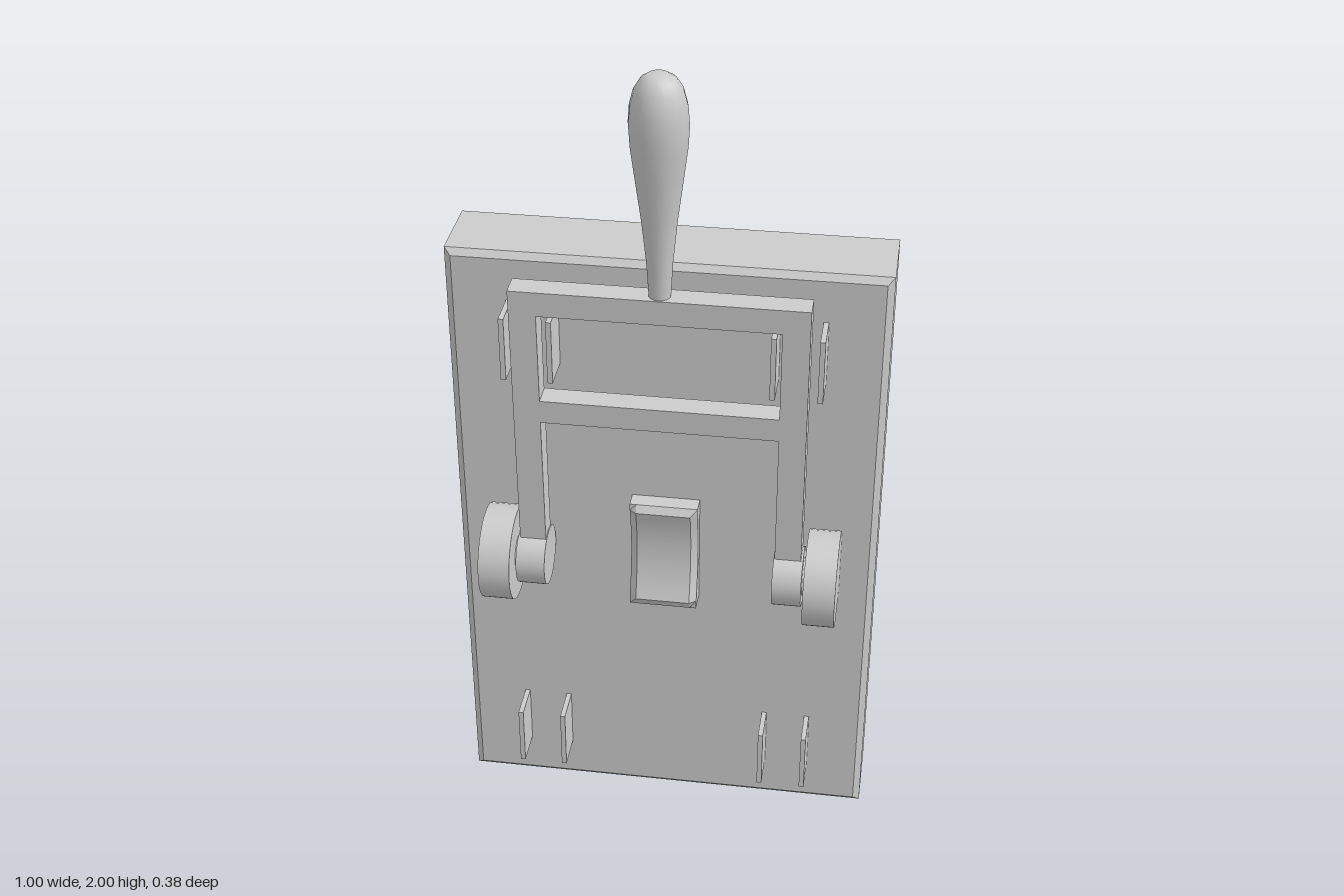
import * as THREE from 'three';
import { toCreasedNormals } from 'three/addons/utils/BufferGeometryUtils.js';

const solid = new THREE.MeshStandardMaterial({ color: 0xcccccc });
const thin = new THREE.MeshStandardMaterial({ color: 0xcccccc, side: THREE.DoubleSide });

function add(parent, name, geometry, material = solid) {
  const mesh = new THREE.Mesh(geometry, material);
  mesh.name = name;
  parent.add(mesh);
  return mesh;
}

// Rectangle as four corners, counter-clockwise seen from the front
const rect = (x, y0, y1) => [[-x, y0], [x, y0], [x, y1], [-x, y1]].map(p => new THREE.Vector2(...p));

// Flat-sided walls joining rectangular rings, ordered back to front
function ringWalls(rings) {
  const pos = [];
  for (let r = 0; r < rings.length - 1; r++) {
    for (let i = 0; i < 4; i++) {
      const j = (i + 1) % 4;
      const at = (ring, k) => [ring.pts[k].x, ring.pts[k].y, ring.z];
      const a = at(rings[r], i), b = at(rings[r], j);
      const c = at(rings[r + 1], j), d = at(rings[r + 1], i);
      pos.push(...a, ...b, ...c, ...a, ...c, ...d);
    }
  }
  const g = new THREE.BufferGeometry();
  g.setAttribute('position', new THREE.Float32BufferAttribute(pos, 3));
  g.computeVertexNormals();
  return g;
}

// Concave rocker cap, open at the back: a grid pushed into shape
function rockerGeometry() {
  const xs = [-0.08, -0.08, -0.064, 0.064, 0.08, 0.08];
  const n = 14;
  const g = new THREE.PlaneGeometry(1, 1, xs.length - 1, n);
  const p = g.attributes.position;
  for (let k = 0; k < p.count; k++) {
    const i = k % xs.length, j = Math.floor(k / xs.length);
    const t = THREE.MathUtils.clamp((j - 2) / (n - 4), 0, 1);
    let y = THREE.MathUtils.lerp(0.883, 0.642, t);
    if (j < 2) y = 0.9;
    if (j > n - 2) y = 0.62;
    const face = 0.052 + 0.012 * t - 0.09 * t * (1 - t);
    const border = Math.min(i, xs.length - 1 - i, j, n - j);
    p.setXYZ(k, xs[i], y, border === 0 ? 0 : border === 1 ? face - 0.012 : face);
  }
  return toCreasedNormals(g, 0.5);
}

export function createModel() {
  const model = new THREE.Group();
  model.name = 'leverSwitchPlate';

  // Wall plate: open-backed shell with a bevelled front edge
  const plate = new THREE.Group();
  plate.name = 'plate';
  model.add(plate);
  const inner = rect(0.482, 0.015, 1.5);
  const outer = rect(0.498, 0, 1.515);
  add(plate, 'plateSides', ringWalls([
    { pts: outer, z: -0.19 }, { pts: outer, z: -0.013 }, { pts: inner, z: 0 },
  ]), thin);
  const face = new THREE.Shape(inner);
  face.holes.push(new THREE.Path(rect(0.08, 0.62, 0.9).reverse()));
  add(plate, 'plateFace', new THREE.ShapeGeometry(face), thin);

  add(model, 'rocker', rockerGeometry(), thin);

  // Pairs of thin contact tabs near the four corners
  for (const x of [-0.354, -0.248, 0.248, 0.354]) {
    for (const y of [0.193, 1.322]) {
      add(model, 'contactTab', new THREE.BoxGeometry(0.012, 0.155, 0.094)).position.set(x, y, 0.042);
    }
  }

  // Pivots: large outer disc, short neck and inner hub on each side
  for (const side of [-1, 1]) {
    const pivot = new THREE.Group();
    pivot.name = side > 0 ? 'leftPivot' : 'rightPivot';
    pivot.position.set(0, 0.762, 0.077);
    model.add(pivot);
    for (const [name, radius, x0, x1] of [
      ['pivotDisc', 0.113, 0.341, 0.415],
      ['pivotNeck', 0.045, 0.33, 0.345],
      ['pivotHub', 0.071, 0.266, 0.334],
    ]) {
      const g = new THREE.CylinderGeometry(radius, radius, x1 - x0, 32).rotateZ(Math.PI / 2);
      add(pivot, name, g).position.x = side * (x0 + x1) / 2;
    }
  }

  // Lever: tilts slightly forward about the pivots
  const lever = new THREE.Group();
  lever.name = 'lever';
  lever.position.set(0, 0.762, 0.077);
  lever.rotation.x = 0.022;
  model.add(lever);

  // Fork with a window between its two cross bars
  const fork = new THREE.Shape([
    [-0.329, 0], [-0.268, 0], [-0.268, 0.393], [0.268, 0.393],
    [0.268, 0], [0.329, 0], [0.329, 0.728], [-0.329, 0.728],
  ].map(p => new THREE.Vector2(...p)));
  fork.holes.push(new THREE.Path(rect(0.268, 0.45, 0.669).reverse()));
  const forkGeometry = new THREE.ExtrudeGeometry(fork, { depth: 0.056, bevelEnabled: false });
  add(lever, 'leverFork', forkGeometry.translate(0, 0, -0.028));

  // Teardrop handle
  const profile = [
    [0.024, 0.72], [0.029, 0.81], [0.039, 0.91], [0.052, 1.01], [0.061, 1.08], [0.064, 1.13],
    [0.061, 1.17], [0.052, 1.204], [0.038, 1.227], [0.021, 1.238], [0, 1.238],
  ].map(p => new THREE.Vector2(...p));
  add(lever, 'handle', new THREE.LatheGeometry(profile, 16));

  return model;
}
